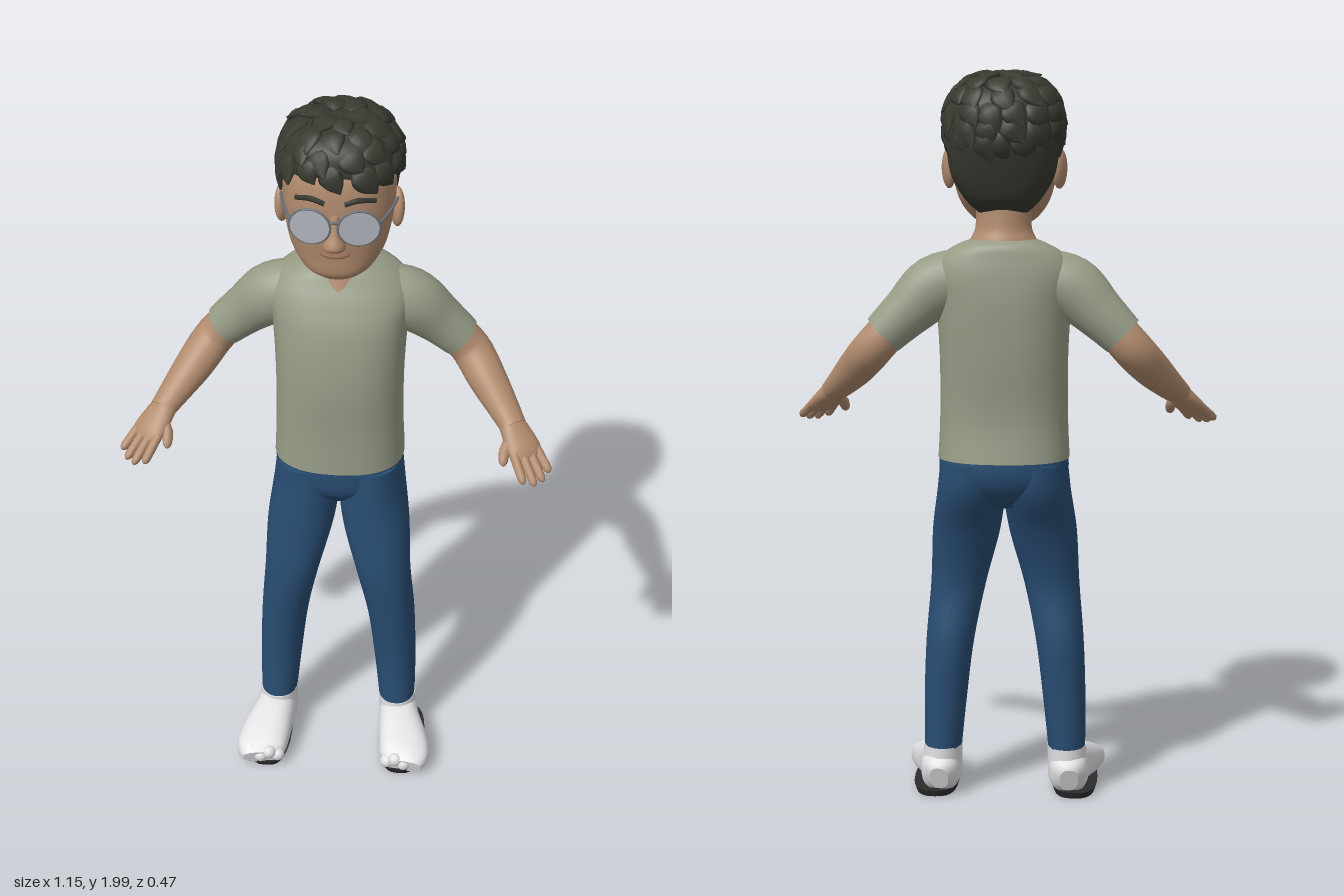
import * as THREE from 'three';

const mat = (name, color) => Object.assign(new THREE.MeshStandardMaterial({ color }), { name });

// Catmull-Rom blend of whole rows [x, y, z, halfWidth, halfDepth]
function refine(rows, steps) {
  const out = [];
  const at = i => rows[Math.min(Math.max(i, 0), rows.length - 1)];
  for (let i = 0; i < rows.length - 1; i++) {
    for (let s = 0; s < steps; s++) {
      const t = s / steps, [a, b, c, d] = [at(i - 1), at(i), at(i + 1), at(i + 2)];
      out.push(b.map((v, k) => v + 0.5 * t * (c[k] - a[k] + t * (2 * a[k] - 5 * v + 4 * c[k] - d[k]
        + t * (3 * (v - c[k]) + d[k] - a[k])))));
    }
  }
  out.push(rows[rows.length - 1]);
  return out;
}

// Skin through superellipse cross-sections; flat keeps every section horizontal
function loft(name, material, rows, { flat = false, n = 28, p = 2, steps = 5, ref = [0, 1, 0] } = {}) {
  const rings = refine(rows, steps), pos = [], idx = [], up = new THREE.Vector3(...ref);
  const centre = r => new THREE.Vector3(r[0], r[1], r[2]);
  const bend = v => Math.sign(v) * Math.abs(v) ** (2 / p);
  rings.forEach((r, i) => {
    const T = flat ? new THREE.Vector3(0, 1, 0)
      : centre(rings[Math.min(i + 1, rings.length - 1)]).sub(centre(rings[Math.max(i - 1, 0)])).normalize();
    const S = flat ? new THREE.Vector3(1, 0, 0) : T.clone().cross(up).normalize();
    const N = S.clone().cross(T);
    for (let j = 0; j < n; j++) {
      const a = j / n * Math.PI * 2;
      const v = centre(r).addScaledVector(S, r[3] * bend(Math.cos(a))).addScaledVector(N, r[4] * bend(Math.sin(a)));
      pos.push(v.x, v.y, v.z);
    }
  });
  const last = rings.length - 1;
  for (let i = 0; i < last; i++) for (let j = 0; j < n; j++) {
    const a = i * n + j, b = i * n + (j + 1) % n;
    idx.push(a, a + n, b, b, a + n, b + n);
  }
  // end caps with their own vertices, so the rims stay sharp
  for (const end of [0, last]) {
    const base = pos.length / 3;
    pos.push(...pos.slice(end * n * 3, (end + 1) * n * 3), ...rings[end].slice(0, 3));
    for (let j = 0; j < n; j++) {
      const a = base + j, b = base + (j + 1) % n;
      idx.push(base + n, ...(end ? [b, a] : [a, b]));
    }
  }
  const g = new THREE.BufferGeometry();
  g.setAttribute('position', new THREE.Float32BufferAttribute(pos, 3));
  g.setIndex(idx);
  g.computeVertexNormals();
  return named(name, g, material);
}

function named(name, geometry, material) {
  const m = new THREE.Mesh(geometry, material);
  m.name = name;
  return m;
}

function wire(name, material, pts, r) {
  const curve = new THREE.CatmullRomCurve3(pts.map(q => new THREE.Vector3(...q)));
  return named(name, new THREE.TubeGeometry(curve, 14, r, 6), material);
}

export function createModel() {
  const model = new THREE.Group();
  const skin = mat('skin', 0xb18b6e), hair = mat('hair', 0x383930), shirt = mat('shirt', 0x979c86);
  const denim = mat('denim', 0x294d73), white = mat('shoe white', 0xe2e2e5), sole = mat('sole', 0x2c2c2c);
  const lens = mat('lens', 0xb0b5bc), metal = mat('frame metal', 0x70747a), lip = mat('lip', 0x966850);
  const F = { flat: true, n: 40, p: 2.4 };
  let seed = 7;
  const rnd = () => (seed = (seed * 16807) % 2147483647) / 2147483647;

  // Torso, pelvis and neck
  model.add(loft('shirtBody', shirt, [
    [0, 0.965, -0.06, 0.177, 0.143], [0, 1.08, -0.055, 0.172, 0.136], [0, 1.24, -0.06, 0.172, 0.143],
    [0, 1.38, -0.072, 0.18, 0.136], [0, 1.46, -0.085, 0.19, 0.118], [0, 1.51, -0.095, 0.165, 0.1],
    [0, 1.54, -0.1, 0.12, 0.088], [0, 1.555, -0.1, 0.08, 0.07]], F));
  model.add(loft('pelvis', denim, [
    [0, 0.83, -0.05, 0.06, 0.07], [0, 0.88, -0.055, 0.14, 0.12],
    [0, 0.93, -0.06, 0.173, 0.135], [0, 0.985, -0.06, 0.171, 0.135]], F));
  model.add(loft('neck', skin, [
    [0, 1.495, -0.075, 0.055, 0.088], [0, 1.535, -0.088, 0.096, 0.084], [0, 1.558, -0.088, 0.085, 0.08],
    [0, 1.59, -0.082, 0.074, 0.076], [0, 1.67, -0.075, 0.075, 0.078]], { flat: true }));

  // Head, nose and mouth
  model.add(loft('head', skin, [
    [0, 1.577, 0.03, 0.045, 0.038], [0, 1.6, 0.015, 0.085, 0.07], [0, 1.65, -0.01, 0.12, 0.1],
    [0, 1.72, -0.025, 0.138, 0.125], [0, 1.8, -0.04, 0.145, 0.145], [0, 1.88, -0.05, 0.138, 0.142],
    [0, 1.94, -0.06, 0.09, 0.1]], { ...F, p: 2.3 }));
  model.add(loft('nose', skin, [
    [0, 1.685, 0.1, 0.018, 0.012], [0, 1.694, 0.106, 0.029, 0.028], [0, 1.71, 0.108, 0.026, 0.031],
    [0, 1.74, 0.102, 0.016, 0.022], [0, 1.785, 0.098, 0.012, 0.012]], { flat: true, n: 16 }));
  model.add(wire('mouth', lip, [[-0.042, 1.668, 0.08], [-0.02, 1.661, 0.092], [0.02, 1.661, 0.092], [0.042, 1.668, 0.08]], 0.006));

  // Hair cap
  model.add(loft('hairCap', hair, [
    [0, 1.62, -0.1, 0.06, 0.035], [0, 1.66, -0.11, 0.1, 0.07], [0, 1.72, -0.115, 0.135, 0.09],
    [0, 1.79, -0.115, 0.148, 0.11], [0, 1.83, -0.09, 0.152, 0.138], [0, 1.87, -0.07, 0.152, 0.158],
    [0, 1.92, -0.065, 0.142, 0.15], [0, 1.955, -0.06, 0.115, 0.12], [0, 1.98, -0.06, 0.06, 0.065]], F));

  // Overlapping hair locks, swirling outward from the crown
  const locks = new THREE.Group();
  locks.name = 'hairLocks';
  const onScalp = (t, az, lift) => {
    const d = [Math.sin(t) * Math.sin(az), Math.cos(t), Math.sin(t) * Math.cos(az)];
    const k = d.reduce((s, v) => s + Math.abs(v) ** 2.4, 0) ** (-1 / 2.4);
    return [d[0] * (0.15 * k + lift), 1.85 + d[1] * (0.132 * k + lift), -0.068 + d[2] * (0.158 * k + lift)];
  };
  [[0.08, 6], [0.4, 10], [0.72, 13], [1.02, 15], [1.35, 16], [1.6, 16]].forEach(([t0, count], ring) => {
    for (let i = 0; i < count; i++) {
      const az = (i + (ring % 2) / 2 + rnd() * 0.4) / count * Math.PI * 2, t = t0 + rnd() * 0.1, len = 0.42 + rnd() * 0.12;
      if (Math.cos(az) > (t0 > 1.5 ? -0.2 : 0.3) && t0 > 1.1) continue;
      const w = 0.03 + rnd() * 0.008, tip = 0.008 + rnd() * 0.012;
      const rows = [[0, -0.004, 0.4, 0.006], [0.35, 0.003, 1, 0.012], [0.7, 0.006, 0.8, 0.01], [1, tip, 0.06, 0.002]]
        .map(([u, lift, k, b]) => [...onScalp(t + u * len, az + u * 0.3, lift), w * k, b]);
      const ref = onScalp(t + len / 2, az + 0.15, 0);
      locks.add(loft('hairLock', hair, rows, { n: 8, steps: 3, ref: [ref[0], ref[1] - 1.85, ref[2] + 0.068] }));
    }
  });
  model.add(locks);

  // Glasses bridge
  model.add(wire('glassesBridge', metal, [[-0.014, 1.768, 0.118], [0, 1.774, 0.121], [0.014, 1.768, 0.118]], 0.004));

  for (const s of [1, -1]) {
    const side = new THREE.Group();
    side.name = s > 0 ? 'leftSide' : 'rightSide';
    const m = rows => rows.map(([x, ...rest]) => [x * s, ...rest]);
    const add = (name, material, rows, o) => side.add(loft(name, material, m(rows), o));

    // Ear, eyebrow and glasses
    const ear = named('ear', new THREE.SphereGeometry(1, 16, 12), skin);
    ear.scale.set(0.018, 0.054, 0.032);
    ear.position.set(0.147 * s, 1.735, -0.045);
    ear.rotation.set(-0.15, 0.35 * s, 0);
    side.add(ear);
    side.add(wire('eyebrow', hair, m([[0.025, 1.818, 0.103], [0.06, 1.828, 0.098], [0.1, 1.817, 0.073]]), 0.007));
    const glass = new THREE.Group();
    glass.name = 'glassesEye';
    const disc = named('lens', new THREE.CylinderGeometry(0.05, 0.05, 0.006, 32), lens);
    disc.rotation.x = Math.PI / 2;
    glass.add(disc, named('rim', new THREE.TorusGeometry(0.051, 0.0035, 6, 32), metal));
    glass.position.set(0.062 * s, 1.757, 0.112);
    glass.rotation.y = 0.15 * s;
    glass.scale.set(1.03, 0.95, 1);
    side.add(glass);
    side.add(wire('temple', metal, m([[0.112, 1.768, 0.104], [0.135, 1.77, 0.04], [0.153, 1.77, -0.045]]), 0.004));

    // Sleeve and forearm
    add('sleeve', shirt, [
      [0.09, 1.45, -0.09, 0.075, 0.08], [0.18, 1.425, -0.098, 0.078, 0.085],
      [0.255, 1.36, -0.114, 0.064, 0.069], [0.318, 1.3, -0.121, 0.057, 0.059]]);
    add('forearm', skin, [
      [0.285, 1.333, -0.118, 0.052, 0.053], [0.345, 1.265, -0.121, 0.055, 0.054], [0.395, 1.205, -0.065, 0.052, 0.05],
      [0.44, 1.155, -0.01, 0.043, 0.04], [0.472, 1.122, 0.035, 0.036, 0.031]]);

    // Hand with four fingers and a thumb
    add('palm', skin, [
      [0.462, 1.132, 0.024, 0.035, 0.031], [0.482, 1.107, 0.05, 0.044, 0.026],
      [0.504, 1.08, 0.08, 0.049, 0.022], [0.516, 1.066, 0.096, 0.04, 0.014]]);
    for (let i = 0; i < 4; i++) {
      const k = (i - 1.5) * 0.024, len = [0.9, 1.05, 1, 0.8][i];
      const at = (u, r) => [0.504 + k * 0.78 + u * len * 0.04 + k * u * 0.2, 1.08 - u * len * 0.05, 0.083 - k * 0.62 + u * len * 0.068, r, r];
      add('finger', skin, [at(0, 0.013), at(0.5, 0.0125), at(0.9, 0.011), at(1.03, 0.004)], { n: 10, steps: 3 });
    }
    add('thumb', skin, [
      [0.47, 1.107, 0.06, 0.016, 0.016], [0.452, 1.085, 0.088, 0.015, 0.015],
      [0.449, 1.064, 0.115, 0.012, 0.012], [0.45, 1.057, 0.125, 0.004, 0.004]], { n: 10, steps: 3 });

    // Trouser leg
    add('trouserLeg', denim, [
      [0.172, 0.125, -0.003, 0.051, 0.067], [0.164, 0.28, -0.008, 0.059, 0.069], [0.151, 0.44, -0.005, 0.066, 0.08],
      [0.128, 0.6, 0.01, 0.076, 0.08], [0.105, 0.75, -0.015, 0.092, 0.096],
      [0.089, 0.87, -0.05, 0.092, 0.125], [0.086, 0.955, -0.058, 0.086, 0.13]], { flat: true, p: 2.15 });

    // Shoe with ankle, toe bumps and sole
    add('shoeAnkle', white, [[0.176, 0.04, 0, 0.056, 0.07], [0.172, 0.138, -0.003, 0.0535, 0.0695]], { flat: true });
    add('shoe', white, [
      [0.18, 0.055, -0.076, 0.026, 0.034], [0.178, 0.064, -0.045, 0.052, 0.056], [0.18, 0.07, 0.04, 0.058, 0.062],
      [0.197, 0.058, 0.12, 0.069, 0.05], [0.207, 0.046, 0.18, 0.07, 0.038], [0.205, 0.036, 0.215, 0.052, 0.026]], { p: 2.5 });
    for (let i = 0; i < 5; i++) {
      const toe = named('toeBump', new THREE.SphereGeometry(0.02, 12, 8), white);
      toe.position.set((0.158 + i * 0.024) * s, 0.04 + (i % 2) * 0.014, 0.212 - Math.abs(i - 1.5) * 0.008);
      side.add(toe);
    }
    add('sole', sole, [[0.193, 0, 0.07, 0.058, 0.138], [0.193, 0.018, 0.07, 0.064, 0.145]], { flat: true, p: 2.8, steps: 1 });
    model.add(side);
  }
  return model;
}
